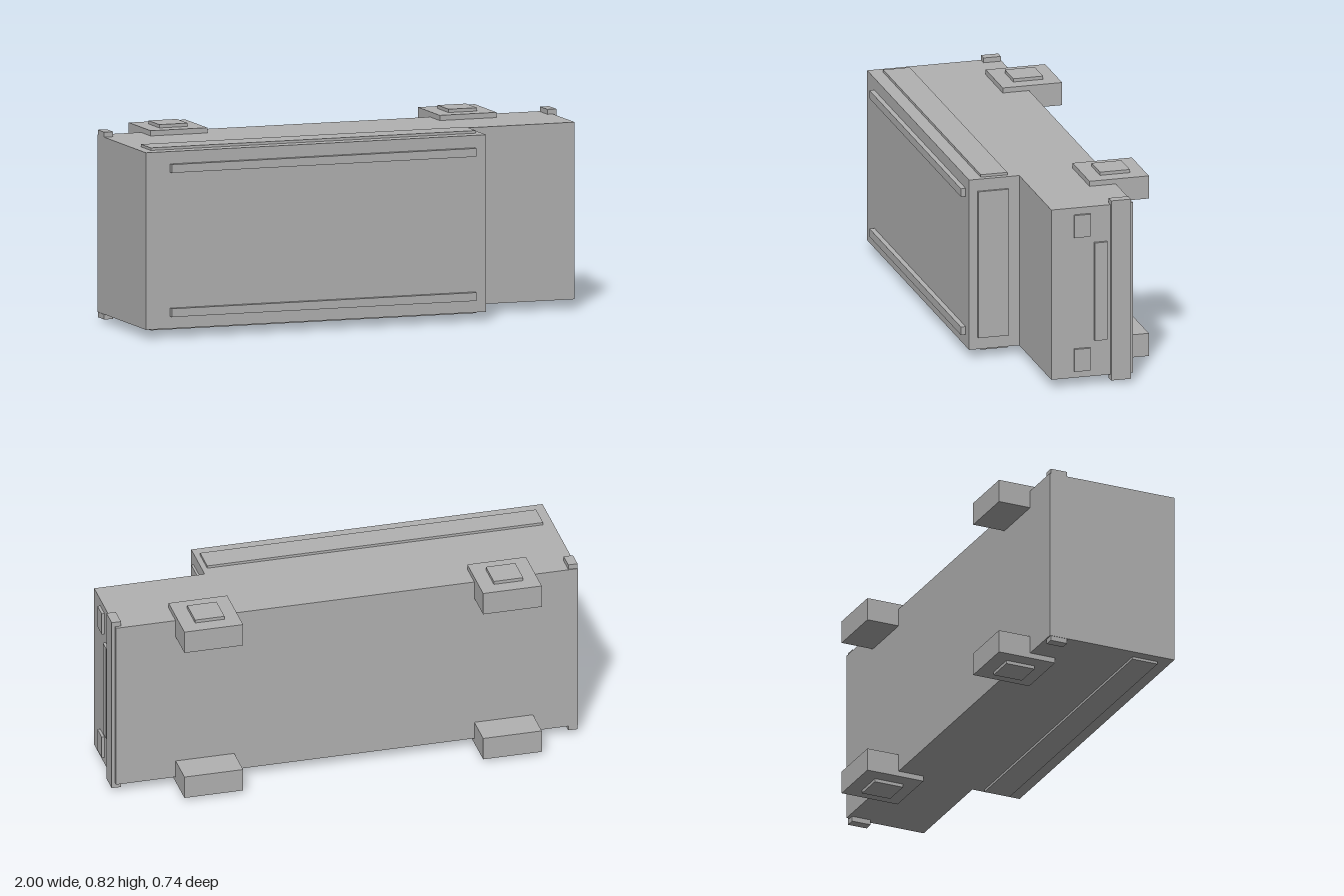
import * as THREE from 'three';

// A boxy van lying on its side: wheels towards -z, roof towards +z, nose towards +x.
export function createModel() {
  const van = new THREE.Group();
  van.name = 'van';
  const grey = new THREE.MeshStandardMaterial({ color: 0xb2b2b2 });
  grey.name = 'grey';

  const MID = 0.408; // plane of symmetry between the two sides of the van

  const add = (name, geometry) => {
    const mesh = new THREE.Mesh(geometry, grey);
    mesh.name = name;
    van.add(mesh);
  };

  // Box given by its limits on each axis
  const box = (name, x0, x1, y0, y1, z0, z1) => {
    const g = new THREE.BoxGeometry(x1 - x0, y1 - y0, z1 - z0);
    g.translate((x0 + x1) / 2, (y0 + y1) / 2, (z0 + z1) / 2);
    add(name, g);
  };

  // Same box on both sides of the van
  const pair = (name, x0, x1, y0, y1, z0, z1) => {
    box(name + 'A', x0, x1, y0, y1, z0, z1);
    box(name + 'B', x0, x1, 2 * MID - y1, 2 * MID - y0, z0, z1);
  };

  // Body: side profile with a lower bonnet, extruded across the width
  const profile = new THREE.Shape([
    [-1, 0.224], [0.985, 0.224], [0.985, -0.13],
    [0.51, -0.13], [0.51, -0.347], [-1, -0.347],
  ].map(([x, y]) => new THREE.Vector2(x, y)).reverse());
  const body = new THREE.ExtrudeGeometry(profile, { depth: 0.743, bevelEnabled: false });
  body.rotateX(-Math.PI / 2);
  body.translate(0, 0.037, 0);
  add('body', body);

  // Wheels with square hubs
  for (const [axle, x] of [['rear', -0.681], ['front', 0.603]]) {
    pair(axle + 'Wheel', x - 0.126, x + 0.126, 0.703, 0.802, -0.367, -0.11);
    pair(axle + 'Hub', x - 0.063, x + 0.063, 0.802, 0.816, -0.303, -0.174);
  }

  // Bumpers: full bar in front, ends showing at the back
  box('frontBumper', 0.96, 1, 0.015, 0.801, -0.21, -0.125);
  pair('rearBumperEnd', -1, -0.96, 0.78, 0.801, -0.22, -0.145);

  // Nose details
  pair('headlight', 0.985, 0.997, 0.652, 0.75, -0.037, 0.033);
  box('grille', 0.985, 0.997, 0.194, 0.622, -0.11, -0.055);

  // Windows
  box('windscreen', 0.51, 0.52, 0.088, 0.728, 0.177, 0.31);
  pair('sideWindow', -0.957, 0.487, 0.78, 0.791, 0.175, 0.29);

  // Roof rails
  pair('roofRail', -0.893, 0.46, 0.693, 0.728, 0.347, 0.368);

  return van;
}
